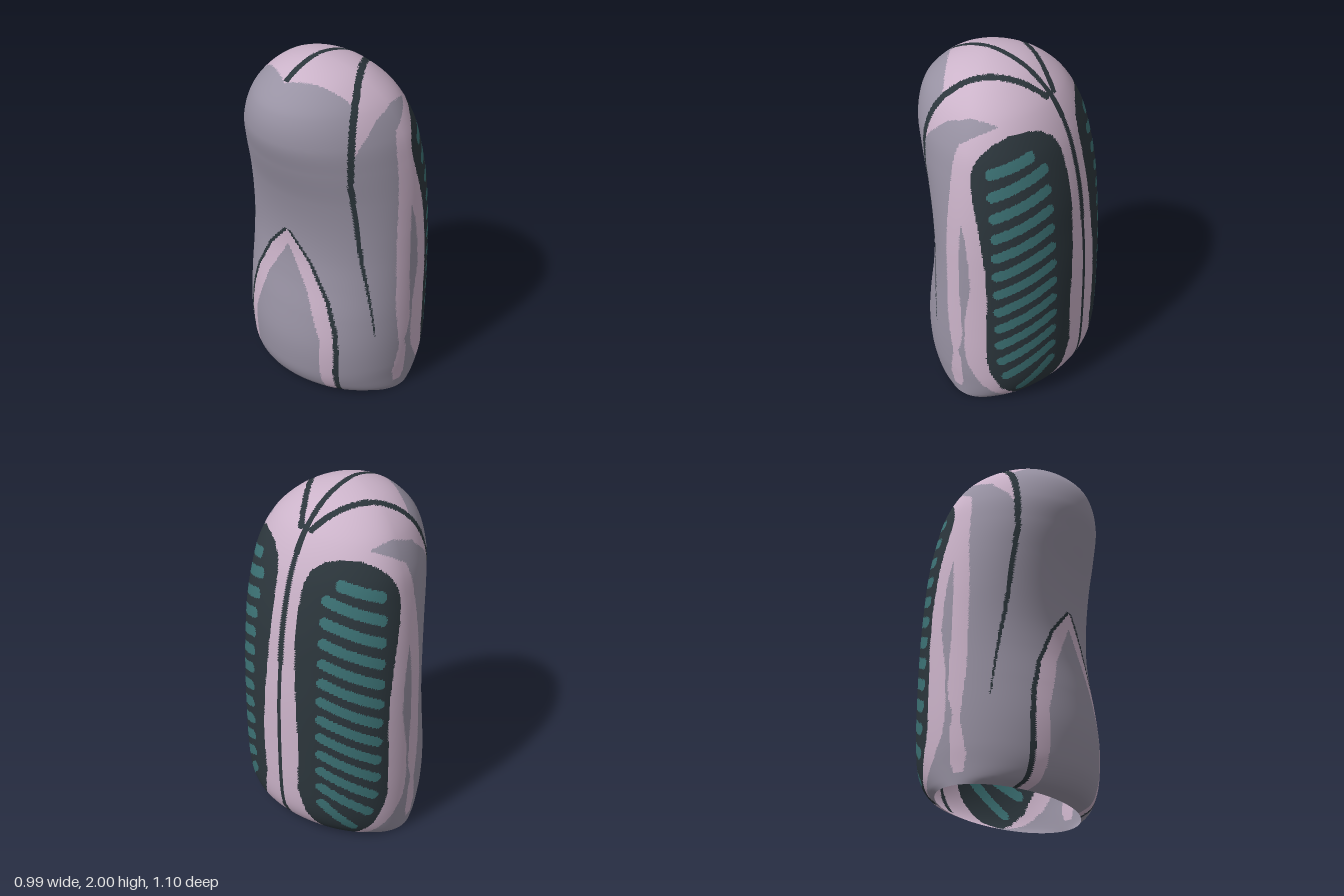
import * as THREE from 'three';

const AROUND = 264, ROWS = 220;

// Height spacing that tightens toward the dome
const heightAt = q => 2 - 2.24 * q * q / (q + 0.12);
const keyOf = y => { const d = 2 - y; return (d + Math.sqrt(d * d + 1.0752 * d)) / 4.48; };

// Smooth interpolation through rows [y, value, value, ...]
function spline(rows, y) {
  const k = rows.map(r => keyOf(r[0])), n = rows.length, q = keyOf(y);
  let i = 0;
  while (i < n - 2 && q < k[i + 1]) i++;
  const h = k[i + 1] - k[i], u = Math.min(1, Math.max(0, (q - k[i]) / h));
  const slope = (a, c) => {
    const lo = Math.max(0, a - 1), hi = Math.min(n - 1, a + 1);
    return (rows[hi][c] - rows[lo][c]) / (k[hi] - k[lo]);
  };
  return rows[0].slice(1).map((_, j) => {
    const c = j + 1, a = rows[i][c], b = rows[i + 1][c];
    const u2 = u * u, u3 = u2 * u;
    return a * (2 * u3 - 3 * u2 + 1) + b * (3 * u2 - 2 * u3)
      + h * (slope(i, c) * (u3 - 2 * u2 + u) + slope(i + 1, c) * (u3 - u2));
  });
}

// Straight interpolation, y ascending
function lerpTable(rows, y) {
  if (y <= rows[0][0]) return rows[0][1];
  for (let i = 1; i < rows.length; i++) {
    const [y0, a] = rows[i - 1], [y1, b] = rows[i];
    if (y <= y1) return a + (b - a) * (y - y0) / (y1 - y0);
  }
  return rows[rows.length - 1][1];
}

function inside(poly, x, y) {
  let hit = false;
  for (let i = 0, j = poly.length - 1; i < poly.length; j = i++) {
    const [ax, ay] = poly[i], [bx, by] = poly[j];
    if ((ay > y) !== (by > y) && x < (bx - ax) * (y - ay) / (by - ay) + ax) hit = !hit;
  }
  return hit;
}

// Body sections: height, left x, widest x, right x, half depth
const SECTIONS = [
  [0, -0.29, 0.02, 0.32, 0.52], [0.03, -0.37, 0.03, 0.38, 0.523],
  [0.1, -0.42, 0.04, 0.44, 0.53], [0.2, -0.44, 0.04, 0.475, 0.54],
  [0.36, -0.444, 0.04, 0.488, 0.547], [0.55, -0.42, 0.04, 0.49, 0.548],
  [0.75, -0.383, 0.04, 0.488, 0.546], [0.92, -0.366, 0.04, 0.481, 0.543],
  [1.1, -0.375, 0.04, 0.465, 0.537], [1.3, -0.41, 0.04, 0.442, 0.522],
  [1.5, -0.465, 0.03, 0.4, 0.493], [1.65, -0.497, 0.02, 0.352, 0.457],
  [1.8, -0.47, -0.01, 0.27, 0.383], [1.9, -0.385, -0.05, 0.17, 0.288],
  [1.96, -0.29, -0.08, 0.07, 0.187], [2, -0.12, -0.12, -0.12, 0],
];
// Arched panel low on the -x side: half widths of its border and its grey middle
const ARCH = [[0, 0.32], [0.35, 0.335], [0.5, 0.32], [0.67, 0.27], [0.89, 0.15], [1.05, 0.01]];
const ARCH_MIDDLE = [[0, 0.25], [0.41, 0.25], [0.7, 0.15], [0.92, 0.02], [0.95, 0]];

// Side pad outline in (angle from +x, height)
const PAD = [[0.54, 0.012], [0.43, 0.04], [0.3, 0.17], [0.22, 0.34], [0.24, 0.65], [0.215, 0.86],
  [0.18, 1.13], [0.166, 1.39], [0.185, 1.59], [0.26, 1.67], [0.42, 1.72], [0.65, 1.74], [0.9, 1.735],
  [1.12, 1.705], [1.31, 1.655], [1.43, 1.59], [1.46, 1.52], [1.42, 1.4], [1.33, 1.2], [1.27, 1],
  [1.25, 0.8], [1.26, 0.5], [1.27, 0.36], [1.22, 0.25], [1.08, 0.12], [0.85, 0.045], [0.68, 0.013]];
const RIB_END = [[0.1, 0.8], [0.22, 1.02], [0.4, 1.1], [1.2, 1.14], [1.5, 1.18]];

// Grey side area in (x, height)
const SIDE = [[0.15, 1.78], [0.08, 1.8], [0.01, 1.805], [-0.12, 1.76], [-0.23, 1.66], [-0.27, 1.6],
  [-0.29, 1.55], [-0.7, 1.55], [-0.7, -0.1], [0.32, -0.1], [0.3, 0], [0.22, 0.05], [0.13, 0.15],
  [0.06, 0.28], [0.045, 0.4], [0.05, 0.6], [0.09, 0.85], [0.08, 1], [0.06, 1.15], [0.03, 1.26],
  [0.02, 1], [0.02, 0.85], [0.035, 0.5], [0.02, 0.42], [0, 0.36], [0.02, 0.28], [0.02, 0.12],
  [0, 0.06], [-0.05, 0.06], [-0.07, 0.15], [-0.04, 0.33], [-0.07, 0.6], [-0.07, 1.1], [-0.05, 1.4],
  [-0.04, 1.6], [-0.02, 1.68], [0.06, 1.735]];
const TRIM_X = [[0.45, -0.185], [0.8, -0.21], [1.2, -0.25], [1.45, -0.285], [1.52, -0.284]];

// Slanted ribs as capsules in (angle / 2, height)
function onRib(t, y) {
  for (let i = 0; i < 13; i++) {
    const y0 = 1.56 - 0.121 * i, rise = i < 1 ? 0.06 : 0.09 + 0.007 * i;
    const a = lerpTable(RIB_END, y0) / 2, b = i < 1 ? 0.32 : 0.245;
    const dx = b - a, px = t / 2 - a, py = y - y0;
    const f = Math.min(1, Math.max(0, (px * dx + py * rise) / (dx * dx + rise * rise)));
    if (Math.hypot(px - f * dx, py - f * rise) < 0.03) return true;
  }
  return false;
}

// Which part a spot on the surface belongs to
function partAt(x, y, z, t) {
  const az = Math.abs(z);
  if (x > -0.05 && inside(PAD, t, y)) return onRib(t, y) ? 'gripRibs' : 'sidePads';
  // centre seam
  if (az < 0.017 && ((y > 1.2 && x > -0.35) || (x > 0 && y > 0.05))) return 'trimLines';
  // curved line over the shoulder, thinning down the flank
  if (y > 1.5) {
    const line = 0.03 + 0.655 * (0.25 - x);
    if (x < 0.25 && Math.abs(az - line) < 0.02) return 'trimLines';
    if (x < 0.25 && az < line) return y > 1.75 && x > -0.36 + 0.5 * az ? 'accentPanels' : 'bodyShell';
  } else if (y > 0.45 && Math.abs(x - lerpTable(TRIM_X, y)) < 0.003 + 0.009 * (y - 0.45)) {
    return 'trimLines';
  }
  // arched panel and its border
  if (y < 1.05 && x < -0.15) {
    const w = lerpTable(ARCH, y);
    if (Math.abs(az - w) < 0.012) return 'trimLines';
    if (az < w) return az < lerpTable(ARCH_MIDDLE, y) ? 'bodyShell' : 'accentPanels';
  }
  return inside(SIDE, x, y) ? 'bodyShell' : 'accentPanels';
}

export function createModel() {
  const group = new THREE.Group();
  const flat = (name, color) => {
    const m = new THREE.MeshStandardMaterial({ color, side: THREE.DoubleSide });
    m.name = name;
    return m;
  };
  const grey = flat('lilac grey', 0x9892a3), pink = flat('pale pink', 0xcbb3c9);
  const dark = flat('charcoal', 0x2c363c), teal = flat('teal', 0x3c7275);
  const materials = { bodyShell: grey, accentPanels: pink, trimLines: dark, sidePads: dark, gripRibs: teal };

  // Surface grid, open at the bottom
  const pos = [];
  for (let i = 0; i <= ROWS; i++) {
    const y = heightAt(1 - i / ROWS);
    const [xl, xm, xr, w] = spline(SECTIONS, y);
    for (let j = 0; j < AROUND; j++) {
      const t = j / AROUND * Math.PI * 2, c = Math.cos(t);
      pos.push(xm + c * (c > 0 ? xr - xm : xm - xl), y, w * Math.sin(t));
    }
  }

  // Sort the faces into parts
  const faces = {}, all = [];
  for (const name in materials) faces[name] = [];
  const addFace = (ids, t) => {
    const mid = k => (pos[ids[0] * 3 + k] + pos[ids[1] * 3 + k] + pos[ids[2] * 3 + k]) / 3;
    const angle = Math.min(t, Math.PI * 2 - t);
    faces[partAt(mid(0), mid(1), mid(2), angle)].push(...ids);
    all.push(...ids);
  };
  const step = Math.PI * 2 / AROUND;
  for (let i = 0; i < ROWS; i++) {
    for (let j = 0; j < AROUND; j++) {
      const a = i * AROUND + j, b = i * AROUND + (j + 1) % AROUND;
      addFace([a, a + AROUND, b], (j + 1 / 3) * step);
      if (i < ROWS - 1) addFace([b, a + AROUND, b + AROUND], (j + 2 / 3) * step);
    }
  }

  // One shared smooth surface, one mesh per part
  const surface = new THREE.BufferGeometry();
  surface.setAttribute('position', new THREE.Float32BufferAttribute(pos, 3));
  surface.setIndex(all);
  surface.computeVertexNormals();
  for (const name in materials) {
    const geometry = new THREE.BufferGeometry();
    geometry.setAttribute('position', surface.getAttribute('position'));
    geometry.setAttribute('normal', surface.getAttribute('normal'));
    geometry.setIndex(faces[name]);
    const mesh = new THREE.Mesh(geometry, materials[name]);
    mesh.name = name;
    group.add(mesh);
  }
  return group;
}
